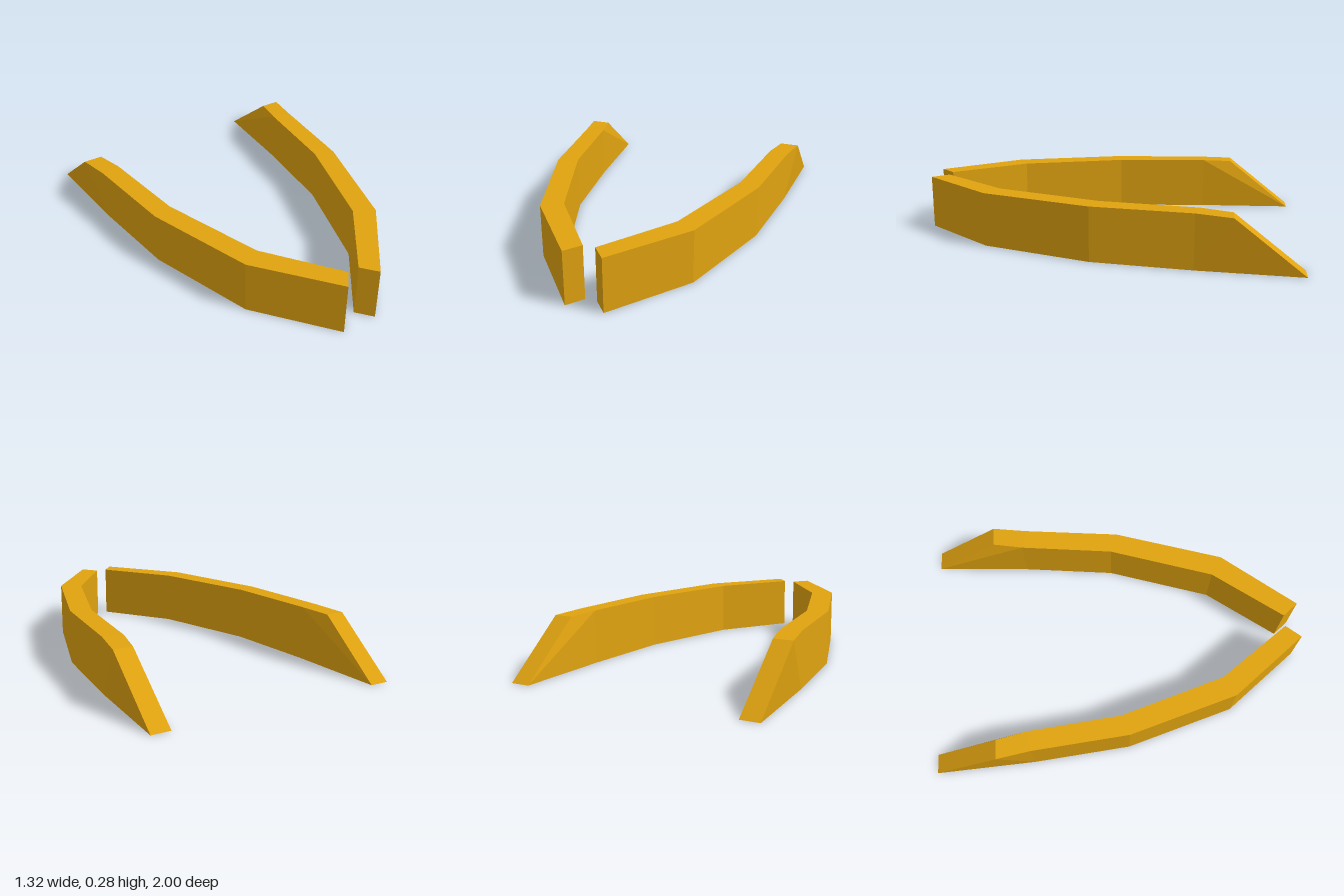
import * as THREE from 'three';

const HEIGHT = 0.283;

// Stations from the front tip to the tail: outer and inner [x, z], top height,
// and how far the foot reaches back beyond the top edge.
const STATIONS = [
  { outer: [0.096, 1.0], inner: [0.03, 0.92], top: HEIGHT, sweep: 0 },
  { outer: [0.4, 0.615], inner: [0.297, 0.555], top: HEIGHT, sweep: 0 },
  { outer: [0.577, 0.043], inner: [0.472, 0.005], top: HEIGHT, sweep: 0 },
  { outer: [0.63, -0.47], inner: [0.527, -0.49], top: HEIGHT, sweep: 0 },
  { outer: [0.66, -0.65], inner: [0.56, -0.65], top: 0.275, sweep: 0.35 },
];

// Loft a four-cornered section along the stations; side = 1 or -1 mirrors in x.
function wallGeometry(side) {
  const rings = STATIONS.map(({ outer, inner, top, sweep }) => [
    [side * outer[0], 0, outer[1] - sweep],
    [side * outer[0], top, outer[1]],
    [side * inner[0], top, inner[1]],
    [side * inner[0], 0, inner[1] - sweep],
  ]);
  const positions = [];
  const quad = (a, b, c, d) => {
    const corners = side > 0 ? [a, b, c, a, c, d] : [a, c, b, a, d, c];
    corners.forEach((p) => positions.push(...p));
  };
  for (let i = 0; i < rings.length - 1; i++) {
    for (let j = 0; j < 4; j++) {
      const k = (j + 1) % 4;
      quad(rings[i][j], rings[i + 1][j], rings[i + 1][k], rings[i][k]);
    }
  }
  // Front end and sloping tail
  const first = rings[0];
  const last = rings[rings.length - 1];
  quad(first[0], first[1], first[2], first[3]);
  quad(last[3], last[2], last[1], last[0]);

  const geometry = new THREE.BufferGeometry();
  geometry.setAttribute('position', new THREE.Float32BufferAttribute(positions, 3));
  geometry.computeVertexNormals();
  return geometry;
}

export function createModel() {
  const group = new THREE.Group();
  group.name = 'curvedWallPair';
  const gold = new THREE.MeshStandardMaterial({ color: 0xe0a310 });
  gold.name = 'gold';
  gold.flatShading = true;

  for (const [name, side] of [['leftWall', 1], ['rightWall', -1]]) {
    const wall = new THREE.Mesh(wallGeometry(side), gold);
    wall.name = name;
    group.add(wall);
  }
  return group;
}
